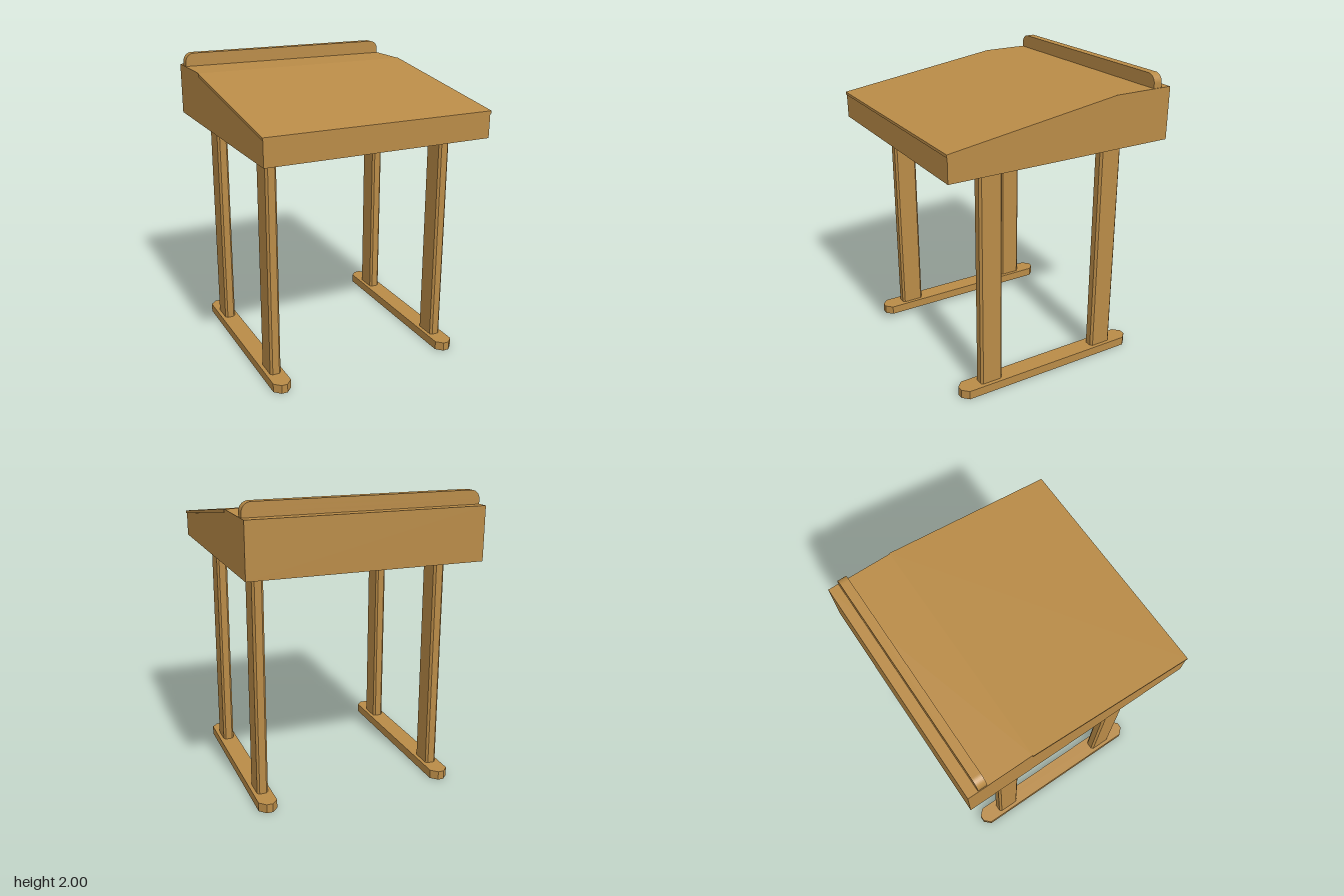
import * as THREE from 'three';

export function createModel() {
  const group = new THREE.Group();
  group.name = 'schoolDesk';
  const wood = new THREE.MeshStandardMaterial({ color: 0xb98b47 });
  wood.name = 'wood';

  const add = (name, geometry, x = 0, y = 0, z = 0) => {
    const mesh = new THREE.Mesh(geometry, wood);
    mesh.name = name;
    mesh.position.set(x, y, z);
    group.add(mesh);
  };

  // Side profile given as [z, y], extruded across the width and centred on x
  const across = (points, width) => {
    const shape = new THREE.Shape(points.map(([z, y]) => new THREE.Vector2(-z, y)));
    return new THREE.ExtrudeGeometry(shape, { depth: width, bevelEnabled: false })
      .translate(0, 0, -width / 2)
      .rotateY(Math.PI / 2);
  };

  // Upright prism with a rectangular plan and chamfered corners
  const chamferedPost = (w, d, h, c) => {
    const a = w / 2, b = d / 2;
    const shape = new THREE.Shape([
      [a, c - b], [a, b - c], [a - c, b], [c - a, b],
      [-a, b - c], [-a, c - b], [c - a, -b], [a - c, -b],
    ].map(([x, y]) => new THREE.Vector2(x, y)));
    return new THREE.ExtrudeGeometry(shape, { depth: h, bevelEnabled: false })
      .rotateX(-Math.PI / 2);
  };

  // Sloping box with a flat strip at the back
  add('deskBox', across([
    [0.79, 1.56], [0.79, 1.72], [-0.36, 1.89],
    [-0.36, 1.91], [-0.795, 1.91], [-0.795, 1.56],
  ], 1.54));

  // Thin sloping lid, slightly wider than the box
  add('lid', across([
    [0.795, 1.72], [0.795, 1.738], [-0.36, 1.91], [-0.36, 1.89],
  ], 1.55));

  // Back rail with rounded upper corners
  const half = 0.765, r = 0.06, top = 0.09;
  const rail = new THREE.Shape();
  rail.moveTo(-half, 0);
  rail.lineTo(half, 0);
  rail.lineTo(half, top - r);
  rail.absarc(half - r, top - r, r, 0, Math.PI / 2, false);
  rail.lineTo(r - half, top);
  rail.absarc(r - half, top - r, r, Math.PI / 2, Math.PI, false);
  add('backRail', new THREE.ExtrudeGeometry(rail,
    { depth: 0.06, bevelEnabled: false, curveSegments: 6 }), 0, 1.91, -0.725);

  // Foot runners and legs on both sides
  for (const [side, s] of [['left', 1], ['right', -1]]) {
    add(side + 'Foot', chamferedPost(0.125, 1.34, 0.06, 0.042), s * 0.62, 0, 0);
    for (const [end, z] of [['Front', 0.447], ['Back', -0.443]]) {
      add(side + end + 'Leg', chamferedPost(0.074, 0.16, 1.5, 0.014), s * 0.62, 0.06, z);
    }
  }
  return group;
}
